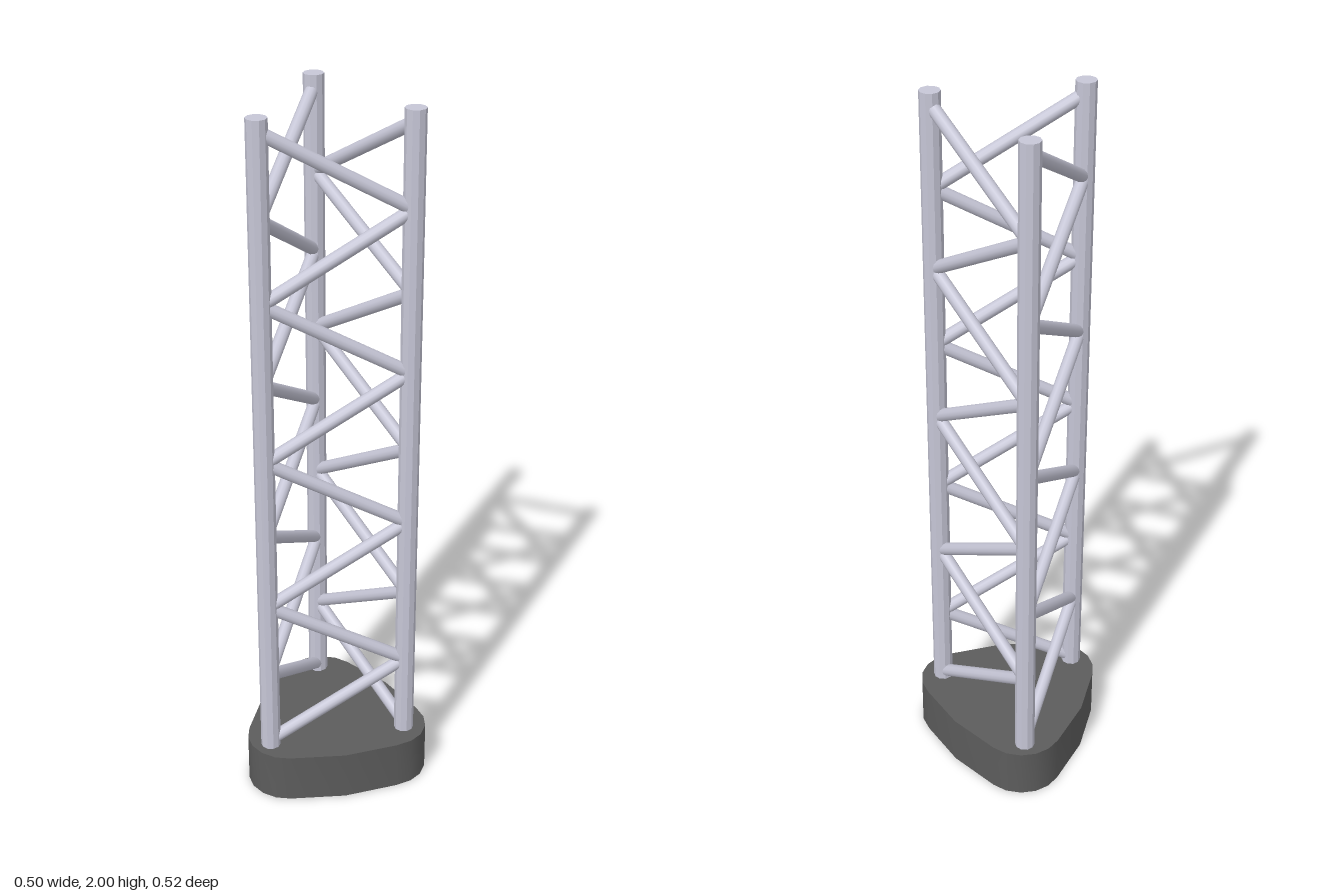
import * as THREE from 'three';
import { toCreasedNormals } from 'three/addons/utils/BufferGeometryUtils.js';

const BASE_H = 0.145, TOP = 2;
const POST_R = 0.028, BRACE_R = 0.018;
const BRACE_LOW = 0.16, BRACE_HIGH = 1.965, BAYS = 8;

export function createModel() {
  const model = new THREE.Group();
  model.name = 'latticeTower';
  const steel = new THREE.MeshStandardMaterial({ color: 0xc6c6d6 });
  const postSteel = new THREE.MeshStandardMaterial({ color: 0xc6c6d6, flatShading: true });
  const dark = new THREE.MeshStandardMaterial({ color: 0x5c5c5c });

  // Base: rounded triangular slab, one half of the outline mirrored
  const half = [
    [0.25, 0.022], [0.233, 0.061], [0.2, 0.095], [0.075, 0.188], [-0.07, 0.252], [-0.112, 0.261],
    [-0.155, 0.254], [-0.193, 0.232], [-0.219, 0.199], [-0.232, 0.158], [-0.25, 0],
  ].map(([x, z]) => new THREE.Vector2(x, z));
  const mirrored = half.slice(0, -1).reverse().map((p) => new THREE.Vector2(p.x, -p.y));
  const slab = new THREE.ExtrudeGeometry(new THREE.Shape([...half, ...mirrored]), {
    depth: BASE_H, bevelEnabled: false,
  });
  slab.rotateX(-Math.PI / 2);
  const base = new THREE.Mesh(toCreasedNormals(slab, 0.6), dark);
  base.name = 'base';
  model.add(base);

  // Posts: three uprights, set slightly into the base
  const corners = [[0.19, 0], [-0.147, -0.203], [-0.147, 0.203]];
  const postBottom = BASE_H - 0.03;
  const postGeo = new THREE.CylinderGeometry(POST_R, POST_R, TOP - postBottom, 10);
  corners.forEach(([x, z], i) => {
    const post = new THREE.Mesh(postGeo, postSteel);
    post.name = `post${i + 1}`;
    post.position.set(x, (TOP + postBottom) / 2, z);
    model.add(post);
  });

  // Braces: one zigzag per face, winding the same way around the tower
  const step = (BRACE_HIGH - BRACE_LOW) / BAYS;
  const up = new THREE.Vector3(0, 1, 0);
  corners.forEach((start, i) => {
    const ends = [start, corners[(i + 1) % 3]];
    const face = new THREE.Group();
    face.name = `braces${i + 1}`;
    const node = (k) => new THREE.Vector3(ends[k % 2][0], BRACE_LOW + k * step, ends[k % 2][1]);
    for (let k = 0; k < BAYS; k++) {
      const a = node(k), b = node(k + 1);
      const dir = b.clone().sub(a);
      const brace = new THREE.Mesh(new THREE.CylinderGeometry(BRACE_R, BRACE_R, dir.length(), 12), steel);
      brace.name = 'brace';
      brace.position.copy(a).add(b).multiplyScalar(0.5);
      brace.quaternion.setFromUnitVectors(up, dir.normalize());
      face.add(brace);
    }
    model.add(face);
  });

  return model;
}
